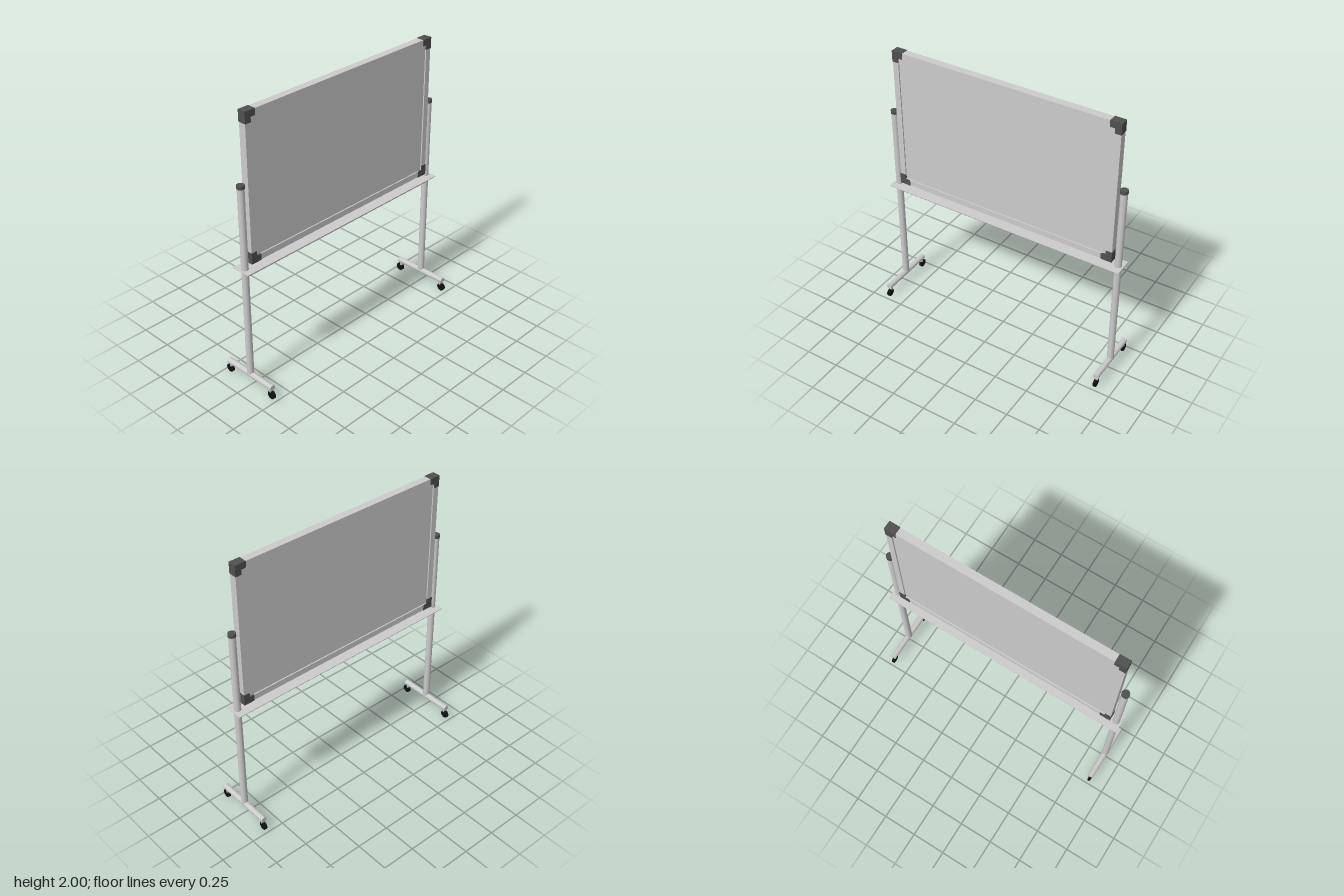
import * as THREE from 'three';

const paint = (color) => new THREE.MeshStandardMaterial({ color });

export function createModel() {
  const group = new THREE.Group();
  const grey = paint(0xcccccc);
  const dark = paint(0x505050);
  const black = paint(0x111111);

  function add(name, geometry, material, x, y, z) {
    const mesh = new THREE.Mesh(geometry, material);
    mesh.name = name;
    mesh.position.set(x, y, z);
    group.add(mesh);
    return mesh;
  }

  // Extrudes a z-y outline along x, centred on x = 0
  function slab(shape, depth) {
    const g = new THREE.ExtrudeGeometry(shape, { depth, bevelEnabled: false });
    g.translate(0, 0, -depth / 2);
    g.rotateY(-Math.PI / 2);
    return g;
  }

  const polygon = (pts) => new THREE.Shape(pts.map(([a, b]) => new THREE.Vector2(a, b)));
  const rect = (w, h) => polygon([[-w, -h], [w, -h], [w, h], [-w, h]]);

  // Board: frame with a recessed writing panel
  const W = 0.837, H = 0.522, rim = 0.043, midY = 1.476;
  const frameShape = rect(W, H);
  frameShape.holes.push(rect(W - rim, H - rim));
  add('boardFrame', slab(frameShape, 0.054), grey, 0, midY, 0);
  add('writingPanel', new THREE.BoxGeometry(0.036, 2 * (H - rim), 2 * (W - rim)), grey, 0, midY, 0);

  // L-shaped corner caps wrapping the frame
  const arm = 0.08, t = rim + 0.002;
  const corner = slab(polygon([[0, 0], [arm, 0], [arm, t], [t, t], [t, arm], [0, arm]]), 0.06);
  const turns = [[-1, -1, 0], [1, -1, 1], [1, 1, 2], [-1, 1, 3]];
  for (const [sz, sy, n] of turns) {
    const cap = add('cornerCap', corner, dark, 0, midY + sy * (H + 0.002), sz * (W + 0.002));
    cap.rotation.x = -n * Math.PI / 2;
  }

  // Tray and the round rail that carries it
  add('tray', new THREE.BoxGeometry(0.14, 0.005, 1.824), grey, 0, 0.919, 0);
  const rail = new THREE.CylinderGeometry(0.028, 0.028, 1.72, 28);
  rail.rotateX(Math.PI / 2);
  add('crossRail', rail, grey, 0, 0.888, 0);

  const post = new THREE.CylinderGeometry(0.024, 0.024, 1.41, 28);
  const postCap = new THREE.CylinderGeometry(0.0265, 0.0265, 0.024, 28);
  const foot = new THREE.CylinderGeometry(0.021, 0.021, 0.43, 24);
  foot.rotateZ(Math.PI / 2);
  const stem = new THREE.CylinderGeometry(0.016, 0.011, 0.032, 16);
  const wheel = new THREE.CylinderGeometry(0.03, 0.03, 0.018, 28);
  wheel.rotateX(Math.PI / 2);
  const hub = new THREE.CylinderGeometry(0.013, 0.013, 0.024, 16);
  hub.rotateX(Math.PI / 2);

  // Two stands, each with a post, a foot and two casters
  for (const s of [-1, 1]) {
    const z = s * 0.875;
    add('post', post, grey, 0, 0.797, z);
    add('postCap', postCap, dark, 0, 1.512, z);
    add('foot', foot, grey, 0, 0.09, z);
    for (const e of [-1, 1]) {
      add('casterStem', stem, grey, e * 0.195, 0.064, z);
      add('casterWheel', wheel, black, e * 0.205, 0.03, z);
      add('casterHub', hub, black, e * 0.205, 0.03, z);
    }
  }
  return group;
}
